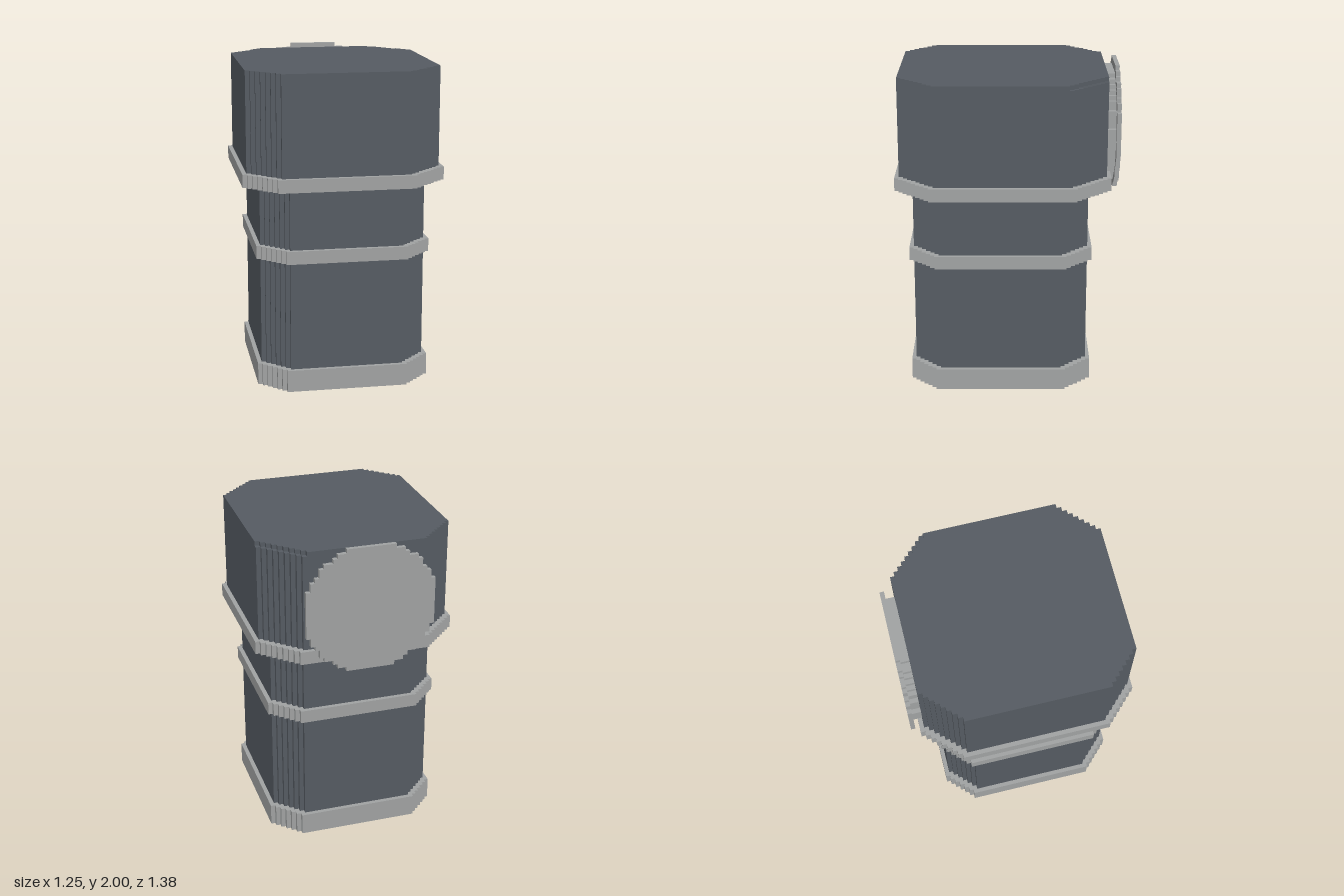
import * as THREE from 'three';

const S = 0.0272; // stair step size

const dark = new THREE.MeshStandardMaterial({ color: 0x565c63 });
dark.name = 'dark slate';
const light = new THREE.MeshStandardMaterial({ color: 0xa2a4a4 });
light.name = 'light grey';

// Rectangle whose corners are cut by n stair steps: [front right, back right, back left, front left] in plan
function steppedShape(x0, x1, zBack, zFront, steps) {
  const corners = [[x1, -zFront], [x1, -zBack], [x0, -zBack], [x0, -zFront]];
  const dirs = [[1, 0], [0, 1], [-1, 0], [0, -1]];
  const pts = [];
  corners.forEach(([cx, cy], i) => {
    const a = dirs[i], b = dirs[(i + 1) % 4], n = steps[i];
    let x = cx - a[0] * n * S, y = cy - a[1] * n * S;
    pts.push(new THREE.Vector2(x, y));
    for (let k = 0; k < n; k++) {
      for (const d of [b, a]) {
        x += d[0] * S;
        y += d[1] * S;
        pts.push(new THREE.Vector2(x, y));
      }
    }
  });
  return new THREE.Shape(pts);
}

// Disc outline made of rows with stair-stepped ends
function discShape(rows, radius) {
  const right = [], left = [];
  for (let i = 0; i < rows; i++) {
    const dy = i - (rows - 1) / 2;
    const w = (Math.round(Math.sqrt(radius * radius - dy * dy) - 0.5) + 0.5) * S;
    for (const e of [-0.5, 0.5]) {
      right.push(new THREE.Vector2(w, (dy + e) * S));
      left.unshift(new THREE.Vector2(-w, (dy + e) * S));
    }
  }
  return new THREE.Shape([...right, ...left]);
}

export function createModel() {
  const model = new THREE.Group();
  model.name = 'barrel';

  const extrude = (name, shape, depth, material) => {
    const geo = new THREE.ExtrudeGeometry(shape, { depth, bevelEnabled: false });
    const mesh = new THREE.Mesh(geo, material);
    mesh.name = name;
    model.add(mesh);
    return mesh;
  };
  const tier = (name, y0, y1, [x0, x1, zb, zf], steps, material) => {
    const mesh = extrude(name, steppedShape(x0, x1, zb, zf, steps), y1 - y0, material);
    mesh.geometry.rotateX(-Math.PI / 2);
    mesh.position.y = y0;
  };

  // Narrow lower body with its bands
  const body = [-0.515, 0.51, -0.5, 0.583];
  const band = [-0.541, 0.537, -0.527, 0.61];
  const low = [6, 6, 6, 6];
  tier('baseBand', 0, 0.137, band, low, light);
  tier('lowerBody', 0.137, 0.816, body, low, dark);
  tier('middleBand', 0.816, 0.897, band, low, light);
  tier('upperBody', 0.897, 1.277, body, low, dark);

  // Wide head and its collar
  const head = [-0.598, 0.593, -0.61, 0.663];
  tier('collar', 1.277, 1.358, [-0.625, 0.62, -0.637, 0.69], [8, 8, 8, 7], light);
  tier('head', 1.358, 1.95, head, [8, 8, 8, 7], dark);
  tier('headTop', 1.95, 1.977, head, [8, 9, 8, 7], dark);

  // Round plate on the back
  const hub = extrude('discHub', discShape(25, 13.1), 0.055, light);
  hub.position.set(-0.01, 1.611, -0.663);
  const plate = extrude('discPlate', discShape(29, 14.9), 0.027, light);
  plate.scale.y = 0.985;
  plate.position.set(-0.014, 1.611, -0.69);

  return model;
}
